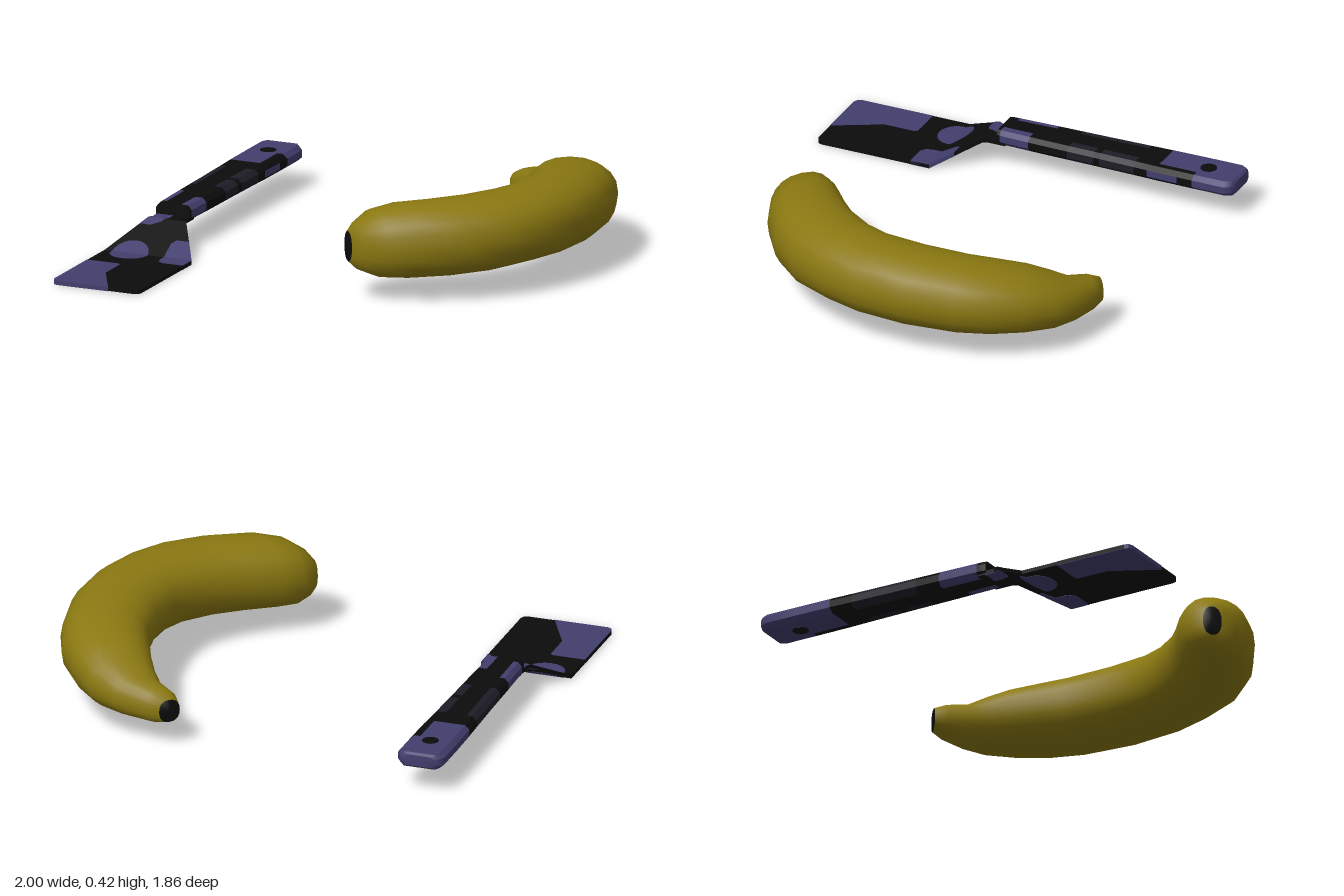
import * as THREE from 'three';
import { toCreasedNormals } from 'three/addons/utils/BufferGeometryUtils.js';

const flat = (name, color) => {
  const m = new THREE.MeshStandardMaterial({ color });
  m.name = name;
  return m;
};

// Skin closed rings of points, cap both ends; paint(i, j) picks the material index
function loft(name, rings, materials, paint, crease) {
  const n = rings[0].length, last = rings.length - 1;
  const points = rings.flat();
  const buckets = materials.map(() => []);
  for (let i = 0; i < last; i++) {
    for (let j = 0; j < n; j++) {
      const k = (j + 1) % n, a = i * n, b = a + n;
      buckets[paint(i, j)].push(a + j, a + k, b + k, a + j, b + k, b + j);
    }
  }
  [0, last].forEach((i) => {
    const centre = new THREE.Vector3();
    rings[i].forEach((p) => centre.addScaledVector(p, 1 / n));
    const c = points.push(centre) - 1;
    for (let j = 0; j < n; j++) {
      const p = i * n + j, q = i * n + (j + 1) % n;
      buckets[paint(i === 0 ? -1 : last, j)].push(...(i === 0 ? [c, q, p] : [c, p, q]));
    }
  });
  const geometry = new THREE.BufferGeometry().setFromPoints(points);
  geometry.setIndex(buckets.flat());
  let start = 0;
  buckets.forEach((b, m) => {
    if (b.length) geometry.addGroup(start, b.length, m);
    start += b.length;
  });
  const mesh = new THREE.Mesh(toCreasedNormals(geometry, crease), materials);
  mesh.name = name;
  return mesh;
}

// Keep the part of an x/z polygon on one side of z = k
function clip(poly, k, sign) {
  const out = [];
  poly.forEach((p, i) => {
    const q = poly[(i + 1) % poly.length];
    const dp = (p[1] - k) * sign, dq = (q[1] - k) * sign;
    if (dp >= 0) out.push(p);
    if (dp * dq < 0) out.push([p[0] + (q[0] - p[0]) * dp / (dp - dq), k]);
  });
  return out;
}

// Underside height of the bent blade
const BENDS = [-1, 0.22, 0.41, 1];
const bladeY = (z) => 0.002 + 0.108 * THREE.MathUtils.clamp((0.41 - z) / 0.19, 0, 1);

// Slab that follows the bends of the blade; grow makes a patch stand proud of it
function bentPlate(name, poly, material, grow = 0) {
  const group = new THREE.Group();
  group.name = name;
  for (let b = 0; b < 3; b++) {
    const piece = clip(clip(poly, BENDS[b], 1), BENDS[b + 1], -1);
    if (piece.length < 3) continue;
    const shape = new THREE.Shape(piece.map(([x, z]) => new THREE.Vector2(x, z)));
    const g = new THREE.ExtrudeGeometry(shape, { depth: 0.016 + 2 * grow, bevelEnabled: false });
    g.rotateX(Math.PI / 2);
    const p = g.attributes.position;
    for (let i = 0; i < p.count; i++) p.setY(i, p.getY(i) + 0.016 + grow + bladeY(p.getZ(i)));
    g.computeVertexNormals();
    const mesh = new THREE.Mesh(g, material);
    mesh.name = name;
    group.add(mesh);
  }
  return group;
}

const ellipse = (cx, cz, rx, rz) => Array.from({ length: 20 }, (_, i) => {
  const a = i / 20 * Math.PI * 2;
  return [cx + rx * Math.cos(a), cz + rz * Math.sin(a)];
});

function makeBanana(yellow, black) {
  // inner x, z, outer x, z, centre height, half height
  const sections = [
    [0.30, -0.79, 0.37, -0.85, 0.16, 0.05], [0.33, -0.74, 0.44, -0.85, 0.165, 0.07],
    [0.41, -0.69, 0.58, -0.83, 0.18, 0.085], [0.46, -0.63, 0.70, -0.79, 0.205, 0.11],
    [0.50, -0.56, 0.81, -0.69, 0.225, 0.13], [0.55, -0.45, 0.90, -0.57, 0.24, 0.142],
    [0.59, -0.35, 0.955, -0.43, 0.25, 0.15], [0.615, -0.17, 0.995, -0.2, 0.262, 0.155],
    [0.60, 0.0, 0.98, 0.03, 0.265, 0.155], [0.55, 0.12, 0.93, 0.2, 0.265, 0.155],
    [0.46, 0.24, 0.85, 0.36, 0.26, 0.157], [0.36, 0.33, 0.72, 0.50, 0.255, 0.157],
    [0.26, 0.41, 0.55, 0.61, 0.25, 0.155], [0.20, 0.47, 0.42, 0.66, 0.24, 0.14],
    [0.178, 0.53, 0.31, 0.67, 0.23, 0.10], [0.18, 0.58, 0.24, 0.635, 0.225, 0.065],
  ];
  const soft = (v) => Math.sign(v) * Math.abs(v) ** 0.88;
  const rings = sections.map(([ix, iz, ox, oz, y, ry]) => Array.from({ length: 20 }, (_, j) => {
    const a = j / 20 * Math.PI * 2;
    const c = soft(Math.cos(a)) / 2, s = soft(Math.sin(a));
    return new THREE.Vector3((ix + ox) / 2 + c * (ox - ix), y + ry * s, (iz + oz) / 2 + c * (oz - iz));
  }));
  const last = rings.length - 1;
  return loft('banana', rings, [yellow, black], (i) => (i < 0 || i === last ? 1 : 0), 1.1);
}

function makeHandle(black, purple, dark) {
  // Chamfered cross-section, in fractions of half width and half height
  const top = [1, 0.8, 0.55, 0.4, 0, -0.4, -0.55, -0.8, -1].map((u) => [u, Math.abs(u) === 1 ? 0.45 : 1]);
  const profile = [...top, ...top.map(([u, v]) => [-u, -v])];
  // z and half width
  const stations = [[-0.93, 0.07], [-0.92, 0.085], [-0.895, 0.102], [-0.75, 0.102], [-0.68, 0.101],
    [-0.58, 0.1], [-0.54, 0.098], [-0.48, 0.096], [-0.32, 0.092], [-0.29, 0.091], [-0.17, 0.089],
    [-0.06, 0.087], [0.01, 0.085], [0.12, 0.082], [0.145, 0.08], [0.16, 0.076]];
  const rings = stations.map(([z, w], i) => profile.map(([u, v]) =>
    new THREE.Vector3(-0.803 + w * u, 0.141 + (i === 0 ? 0.024 : 0.033) * v, z)));
  // u range, z range, material index
  const patches = [[-2, 2, -1, -0.75, 1], [-2, 0.55, -0.75, -0.58, 1], [0.95, 2, -0.68, -0.54, 1],
    [-2, -0.55, -0.48, -0.17, 2], [0.4, 2, -0.48, -0.32, 2], [0.4, 2, -0.29, -0.17, 2],
    [-2, -0.55, -0.06, 0.12, 1], [0.4, 2, 0.01, 0.145, 1]];
  const paint = (i, j) => {
    if (i < 0) return 1;
    if (i >= stations.length - 1) return 0;
    const u = (profile[j][0] + profile[(j + 1) % profile.length][0]) / 2;
    const z = (stations[i][0] + stations[i + 1][0]) / 2;
    const hit = patches.find((p) => u > p[0] && u < p[1] && z > p[2] && z < p[3]);
    return hit ? hit[4] : 0;
  };
  return loft('handle', rings, [black, purple, dark], paint, 0.6);
}

export function createModel() {
  const yellow = flat('banana yellow', 0x8a7811);
  const black = flat('black', 0x0c0c0c);
  const purple = flat('muted purple', 0x423e6e);
  const dark = flat('dark purple grey', 0x1e1d28);

  const spatula = new THREE.Group();
  spatula.name = 'spatula';
  spatula.add(makeHandle(black, purple, dark));

  // Blade with tapered shoulder and neck
  spatula.add(bentPlate('blade', [[-0.875, 0.12], [-0.725, 0.12], [-0.725, 0.2], [-0.6, 0.41], [-0.6, 0.905],
    [-0.607, 0.922], [-0.625, 0.93], [-0.975, 0.93], [-0.993, 0.922], [-1, 0.905], [-1, 0.41], [-0.875, 0.2]], black));

  // Painted patches, showing on both faces and at the rim
  const patches = [
    [[-1, 0.58], [-0.855, 0.58], [-0.845, 0.59], [-0.845, 0.73], [-0.74, 0.931], [-0.975, 0.931],
      [-0.993, 0.923], [-1, 0.905]],
    ellipse(-0.882, 0.42, 0.083, 0.076),
    [[-0.71, 0.32], [-0.653, 0.32], [-0.6, 0.41], [-0.6, 0.495], [-0.695, 0.495], [-0.718, 0.48],
      [-0.727, 0.45], [-0.727, 0.34]],
    [[-0.875, 0.155], [-0.8, 0.155], [-0.8, 0.2], [-0.82, 0.235], [-0.86, 0.258], [-0.908, 0.256], [-0.875, 0.2]],
  ];
  patches.forEach((p) => spatula.add(bentPlate('bladePatch', p, purple, 0.0015)));

  // Hanging hole, dark on both faces
  const hole = new THREE.Mesh(new THREE.CylinderGeometry(0.035, 0.035, 0.07, 20), black);
  hole.name = 'hangingHole';
  hole.position.set(-0.803, 0.141, -0.78);
  spatula.add(hole);

  const model = new THREE.Group();
  model.name = 'bananaAndSpatula';
  model.add(spatula, makeBanana(yellow, black));
  return model;
}
